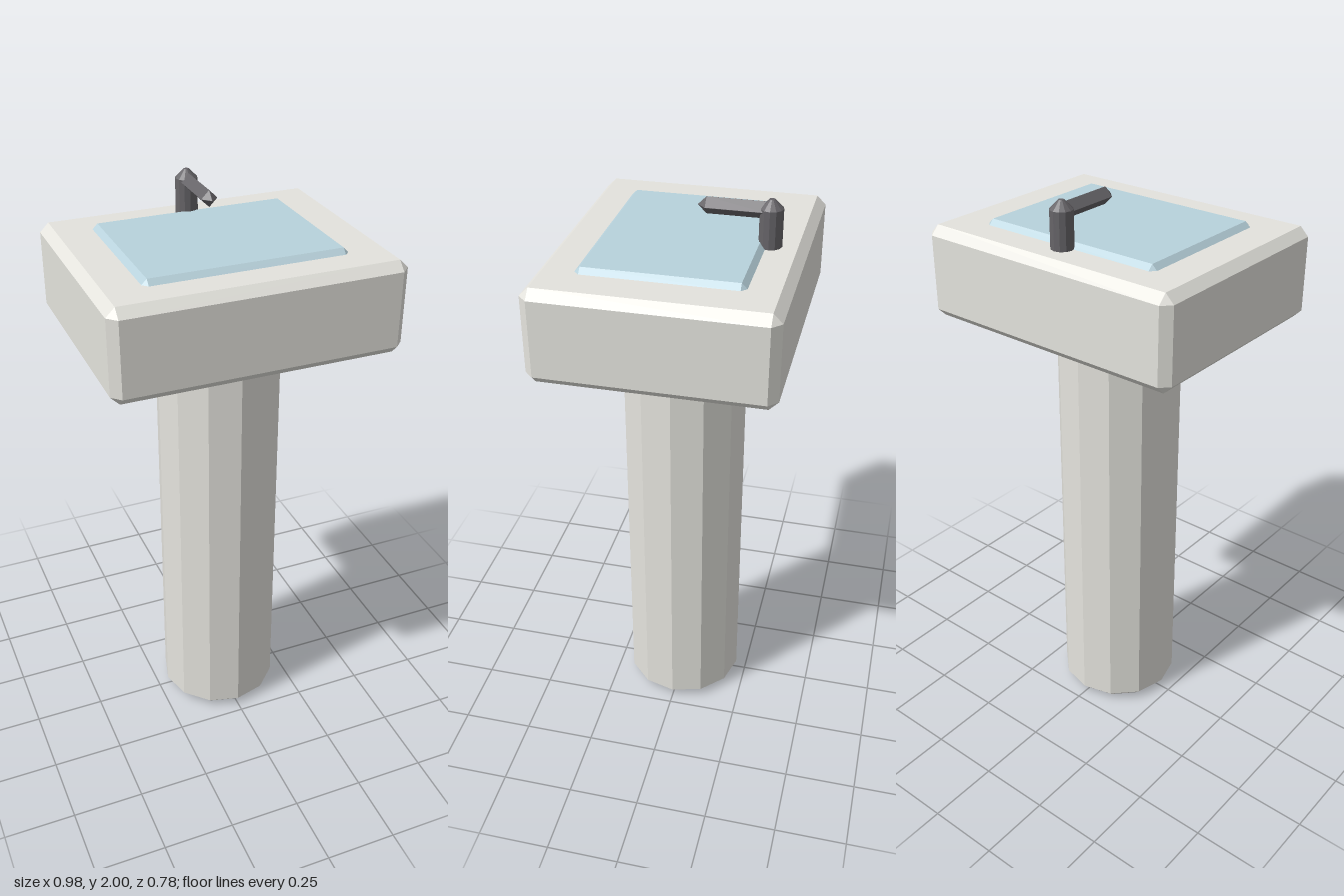
import * as THREE from 'three';
import { ConvexGeometry } from 'three/addons/geometries/ConvexGeometry.js';

const material = (color) => new THREE.MeshStandardMaterial({ color, flatShading: true });

// Box with every edge cut off at 45 degrees
function chamferBox(w, h, d, c) {
  const points = [];
  for (const sx of [-1, 1]) for (const sy of [-1, 1]) for (const sz of [-1, 1]) {
    const x = w / 2, y = h / 2, z = d / 2;
    points.push(
      new THREE.Vector3(sx * x, sy * (y - c), sz * (z - c)),
      new THREE.Vector3(sx * (x - c), sy * y, sz * (z - c)),
      new THREE.Vector3(sx * (x - c), sy * (y - c), sz * z)
    );
  }
  return new ConvexGeometry(points);
}

// Closed prism from y0 to y1 with both rims chamfered
function chamferPrism(r, y0, y1, c, sides) {
  const profile = [[0, y0], [r - c, y0], [r, y0 + c], [r, y1 - c], [r - c, y1], [0, y1]];
  return new THREE.LatheGeometry(profile.map(([x, y]) => new THREE.Vector2(x, y)), sides);
}

export function createModel() {
  const group = new THREE.Group();
  const ceramic = material(0xe4e3dd);
  const water = material(0xb8d2dc);
  const metal = material(0x666468);

  const add = (name, geometry, mat, x = 0, y = 0, z = 0) => {
    const mesh = new THREE.Mesh(geometry, mat);
    mesh.name = name;
    mesh.position.set(x, y, z);
    group.add(mesh);
    return mesh;
  };

  // Twelve-sided column, its top buried in the sink block
  add('pedestal', chamferPrism(0.215, 0, 1.58, 0.03, 12), ceramic);

  // Sink block and the water panel set into its top
  add('sinkBlock', chamferBox(0.98, 0.315, 0.784, 0.03), ceramic, 0, 1.69, 0);
  add('water', chamferBox(0.686, 0.06, 0.53, 0.019), water, 0, 1.835, 0);

  // Tap: upright post with a diamond-section spout
  add('tapPost', chamferPrism(0.038, 1.81, 2, 0.029, 12), metal, 0, 0, -0.275);
  add('tapSpout', chamferBox(0.055, 0.055, 0.25, 0.027), metal, 0, 1.963, -0.167);

  return group;
}
